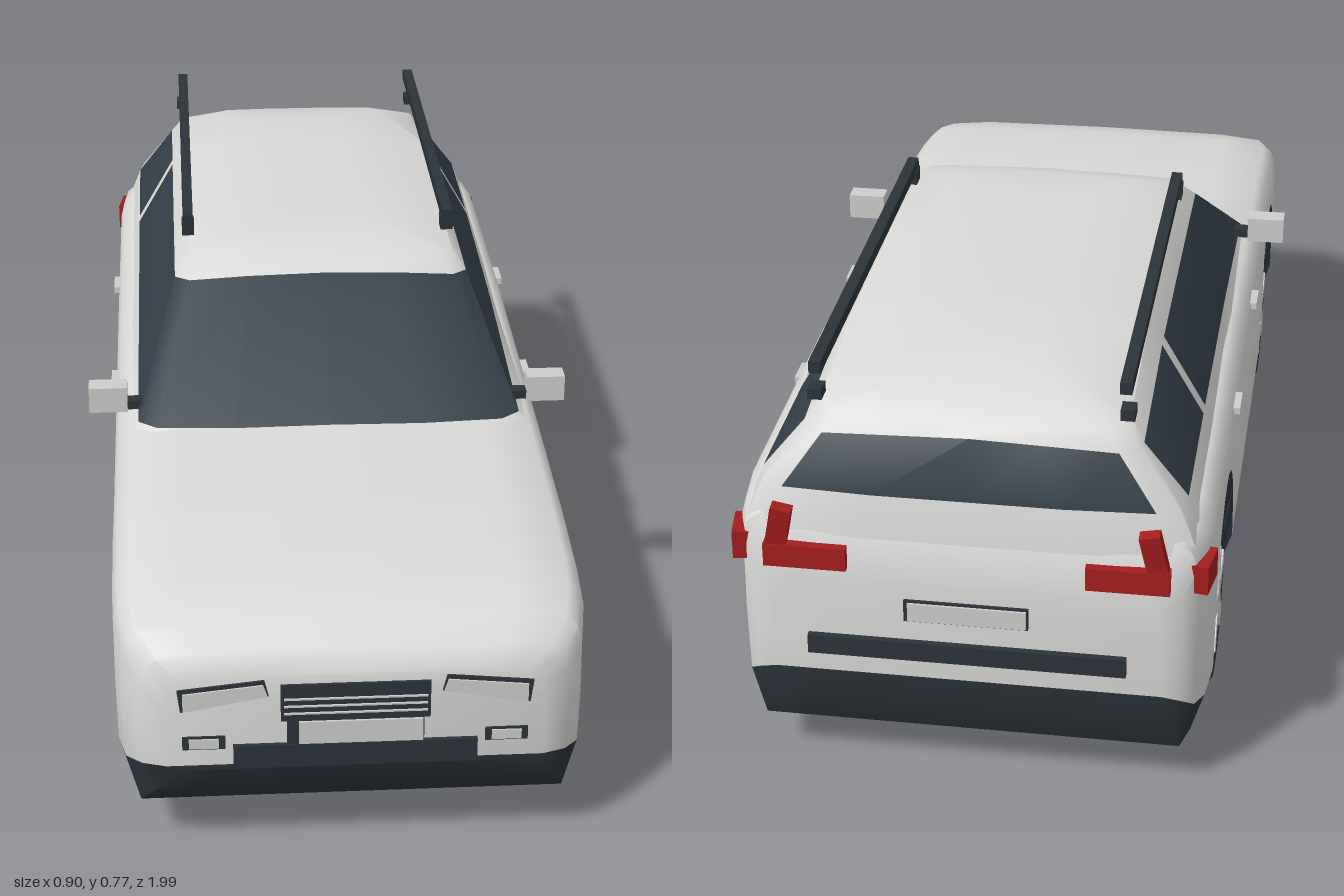
import * as THREE from 'three';
import { toCreasedNormals } from 'three/addons/utils/BufferGeometryUtils.js';

const mat = (name, color) => {
  const m = new THREE.MeshStandardMaterial({ color });
  m.name = name;
  return m;
};

// Closed ring from half of it, mirrored across x = 0
const mirrorRing = half => half.concat(half.slice(1, -1).reverse().map(([x, y, z]) => [-x, y, z]));

// Skin a list of rings, close both ends and sort the faces into materials with pick(row, column)
function loft(rings, pick, mats) {
  const n = rings[0].length, last = (rings.length - 1) * n;
  const faces = mats.map(() => []);
  const quad = (k, a, b, c, d) => faces[k].push(a, b, c, a, c, d);
  for (let r = 0; r < rings.length - 1; r++) for (let j = 0; j < n; j++) {
    const k = (j + 1) % n, a = r * n;
    quad(pick(r, Math.min(j, n - 1 - j)), a + j, a + k, a + n + k, a + n + j);
  }
  for (let j = 0; j < n / 2; j++) {
    const p = j, q = j + 1, s = n - j - 1, t = (n - j) % n;
    quad(pick(-1, j), p, t, s, q);
    quad(pick(rings.length, j), last + p, last + q, last + s, last + t);
  }
  const g = new THREE.BufferGeometry();
  g.setAttribute('position', new THREE.Float32BufferAttribute(rings.flat(2), 3));
  g.setIndex(faces.flat());
  let start = 0;
  faces.forEach((f, i) => { g.addGroup(start, f.length, i); start += f.length; });
  return toCreasedNormals(g, 0.65);
}

// Body stations: z, half width, top, bottom, top of the cladding
const STATIONS = [
  [-0.98, 0.33, 0.40, 0.20, 0.21], [-0.972, 0.36, 0.46, 0.14, 0.20], [-0.95, 0.384, 0.505, 0.09, 0.18],
  [-0.90, 0.398, 0.52, 0.09, 0.165], [-0.82, 0.405, 0.525, 0.09, 0.16], [-0.30, 0.405, 0.525, 0.09, 0.16],
  [0.33, 0.405, 0.502, 0.09, 0.16], [0.62, 0.405, 0.488, 0.09, 0.16], [0.75, 0.405, 0.475, 0.09, 0.16],
  [0.84, 0.402, 0.462, 0.09, 0.165], [0.92, 0.388, 0.44, 0.09, 0.18], [0.965, 0.36, 0.41, 0.14, 0.195],
  [0.985, 0.32, 0.375, 0.19, 0.20],
];
const WHEEL_Z = [0.595, -0.585], WHEEL_R = 0.157;

function station(z) {
  let i = 0;
  while (i < STATIONS.length - 2 && z > STATIONS[i + 1][0]) i++;
  const [p, q] = [STATIONS[i], STATIONS[i + 1]], f = (z - p[0]) / (q[0] - p[0]);
  let [, w, t, b, c] = p.map((v, k) => v + (q[k] - v) * f);
  for (const wz of WHEEL_Z) {
    const u = Math.abs(z - wz);
    if (u < 0.182) b = WHEEL_R + Math.sqrt(0.182 ** 2 - u * u);
    if (u < 0.215) c = Math.max(c, 0.16 + 0.235 * Math.sqrt(1 - (u / 0.215) ** 2));
  }
  return mirrorRing([
    [0, b, z], [w - 0.09, b, z], [w - 0.025, b, z], [w - 0.002, c, z], [w, (c + t - 0.06) / 2, z],
    [w - 0.002, t - 0.06, z], [w - 0.01, t - 0.03, z], [w - 0.03, t - 0.012, z], [w * 0.7, t - 0.003, z], [0, t, z],
  ]);
}

function bodyGeometry(mats) {
  const zs = STATIONS.map(s => s[0]);
  for (const wz of WHEEL_Z) {
    for (const u of [0.215, 0.207, 0.195, 0.1825, 0.1815, 0.17, 0.145, 0.1, 0.05]) zs.push(wz + u, wz - u);
    zs.push(wz);
  }
  zs.sort((a, b) => a - b);
  return loft(zs.map(station), (r, j) => (j < 3 ? 1 : 0), mats);
}

// Cabin: horizontal rings from the waist up to the roof
function cabinGeometry(mats) {
  const levels = [ // height, front z, rear z, half width
    [0.47, 0.37, -0.968, 0.39], [0.50, 0.337, -0.958, 0.358], [0.68, 0.075, -0.93, 0.283],
    [0.712, 0.04, -0.905, 0.258], [0.731, -0.02, -0.86, 0.18], [0.738, -0.12, -0.75, 0.09],
  ];
  const rings = levels.map(([y, zf, zr, w], l) => {
    const side = [(zf - 0.615) / 2, -0.575, -0.605, -0.885].map((z, i) => [w, Math.max(z, zr + 0.055 - i * 0.004)]);
    const plan = [
      [0, zf], [w * 0.5, zf - 0.003], [w * 0.9, zf - 0.012], [w, zf - 0.04], ...side,
      [w * 0.975, zr + 0.03], [w * 0.87, zr + 0.008], [w * 0.45, zr], [0, zr],
    ];
    return mirrorRing(plan.map(([x, z], i) => {
      let h = y;
      if (l === 1) h += 0.048 * THREE.MathUtils.clamp((0.3 - z) / 0.6, 0, 1);
      if (l > 1 && z < -0.5) h -= 0.04 * ((-z - 0.5) / 0.4) ** 2;
      if (l === 2 && (i < 4 || i > 7)) h += 0.018 * (1 - (x / w) ** 2);
      return [x, h, z];
    }));
  });
  const pillars = [5, 7, 8];
  return loft(rings, (r, j) => (r === 1 && !pillars.includes(j) ? 1 : 0), mats);
}

export function createModel() {
  const paint = mat('bodyPaint', 0xd9d9d7);
  const clad = mat('darkCladding', 0x2b3339);
  const glass = mat('tintedGlass', 0x343e48);
  const rubber = mat('tyreRubber', 0x2f373e);
  const silver = mat('silverTrim', 0xcdcdcc);
  const red = mat('tailLightRed', 0xa31d1d);
  const car = new THREE.Group();
  car.name = 'estateCar';

  const add = (name, geometry, material, parent = car) => {
    const m = new THREE.Mesh(geometry, material);
    m.name = name;
    parent.add(m);
    return m;
  };
  // Box given by its ranges in x, y and z
  const block = (name, material, [x0, x1], [y0, y1], [z0, z1]) => {
    const m = add(name, new THREE.BoxGeometry(Math.abs(x1 - x0), y1 - y0, z1 - z0), material);
    m.position.set((x0 + x1) / 2, (y0 + y1) / 2, (z0 + z1) / 2);
    return m;
  };
  const plate = (name, material, points, z, depth) => {
    const shape = new THREE.Shape(points.map(p => new THREE.Vector2(...p)));
    add(name, new THREE.ExtrudeGeometry(shape, { depth, bevelEnabled: false }), material).position.z = z;
  };

  add('body', bodyGeometry([paint, clad]), [paint, clad]);
  add('cabin', cabinGeometry([paint, glass]), [paint, glass]);
  block('underbody', clad, [-0.28, 0.28], [0.088, 0.17], [-0.93, 0.91]);

  // Wheels with five spokes
  const tyre = new THREE.LatheGeometry([[0, -0.046], [0.115, -0.046], [0.145, -0.046], [0.154, -0.04], [0.157, -0.028],
    [0.157, 0.028], [0.154, 0.04], [0.145, 0.046], [0.115, 0.046], [0.11, 0.041], [0, 0.041]]
    .map(p => new THREE.Vector2(...p)), 40);
  const tyreGeometry = toCreasedNormals(tyre.rotateZ(-Math.PI / 2), 0.6);
  for (const s of [1, -1]) for (const z of WHEEL_Z) {
    const wheel = new THREE.Group();
    wheel.name = 'wheel';
    wheel.position.set(s * 0.347, WHEEL_R, z);
    wheel.rotation.y = s > 0 ? 0 : Math.PI;
    add('tyre', tyreGeometry, rubber, wheel);
    for (let i = 0; i < 5; i++) {
      const spoke = add('spoke', new THREE.BoxGeometry(0.012, 0.1, 0.034).translate(0.043, 0.05, 0), silver, wheel);
      spoke.rotation.x = i * Math.PI * 2 / 5;
    }
    car.add(wheel);
  }

  // Parts on both sides
  for (const s of [1, -1]) {
    const mx = (a, b) => [s * a, s * b];
    block('mirror', silver, mx(0.378, 0.45), [0.50, 0.55], [0.215, 0.255]);
    block('mirrorArm', clad, mx(0.345, 0.385), [0.503, 0.52], [0.225, 0.25]);
    block('frontDoorHandle', silver, mx(0.395, 0.413), [0.453, 0.466], [0, 0.06]);
    block('rearDoorHandle', silver, mx(0.395, 0.413), [0.462, 0.475], [-0.445, -0.385]);
    block('roofRail', clad, mx(0.245, 0.265), [0.745, 0.766], [-0.915, -0.065]);
    block('railFrontFoot', clad, mx(0.243, 0.267), [0.724, 0.75], [-0.1, -0.065]);
    block('railRearFoot', clad, mx(0.246, 0.27), [0.695, 0.714], [-0.912, -0.88]);
    const outline = [[0.152, 0.365], [0.297, 0.35], [0.292, 0.308], [0.145, 0.335]];
    const lens = [[0.154, 0.358], [0.288, 0.344], [0.288, 0.31], [0.147, 0.336]];
    plate('headlightHousing', clad, outline.map(([x, y]) => [s * x, y]), 0.955, 0.034);
    plate('headlightLens', silver, lens.map(([x, y]) => [s * x, y]), 0.988, 0.004);
    block('fogLightHousing', clad, mx(0.218, 0.29), [0.233, 0.258], [0.955, 0.988]);
    block('fogLight', silver, mx(0.229, 0.279), [0.236, 0.254], [0.987, 0.991]);
    block('tailLight', red, mx(0.20, 0.34), [0.415, 0.457], [-0.988, -0.955]);
    block('tailLightSide', red, mx(0.375, 0.405), [0.405, 0.457], [-0.957, -0.89]).rotation.y = s * 0.15;
    const upright = block('tailLightUpright', red, mx(0.295, 0.33), [0.45, 0.53], [-0.99, -0.968]);
    upright.rotation.set(-0.12, 0, s * 0.2);
  }

  // Nose: grille with slats, number plate and lower intake
  block('grille', clad, [-0.125, 0.125], [0.285, 0.355], [0.96, 0.99]);
  for (const y of [0.299, 0.313, 0.327]) block('grilleSlat', silver, [-0.12, 0.12], [y, y + 0.003], [0.989, 0.993]);
  block('frontPlateBacking', clad, [-0.115, 0.115], [0.24, 0.285], [0.975, 0.989]);
  block('frontPlate', silver, [-0.095, 0.113], [0.241, 0.284], [0.988, 0.993]);
  block('lowerIntake', clad, [-0.205, 0.205], [0.197, 0.24], [0.96, 0.993]);

  // Tail: number plate and bumper bar
  block('rearPlateBacking', clad, [-0.105, 0.105], [0.325, 0.365], [-0.986, -0.97]);
  block('rearPlate', silver, [-0.102, 0.098], [0.328, 0.362], [-0.99, -0.984]);
  block('rearBumperBar', clad, [-0.27, 0.27], [0.25, 0.285], [-0.992, -0.96]);

  return car;
}
